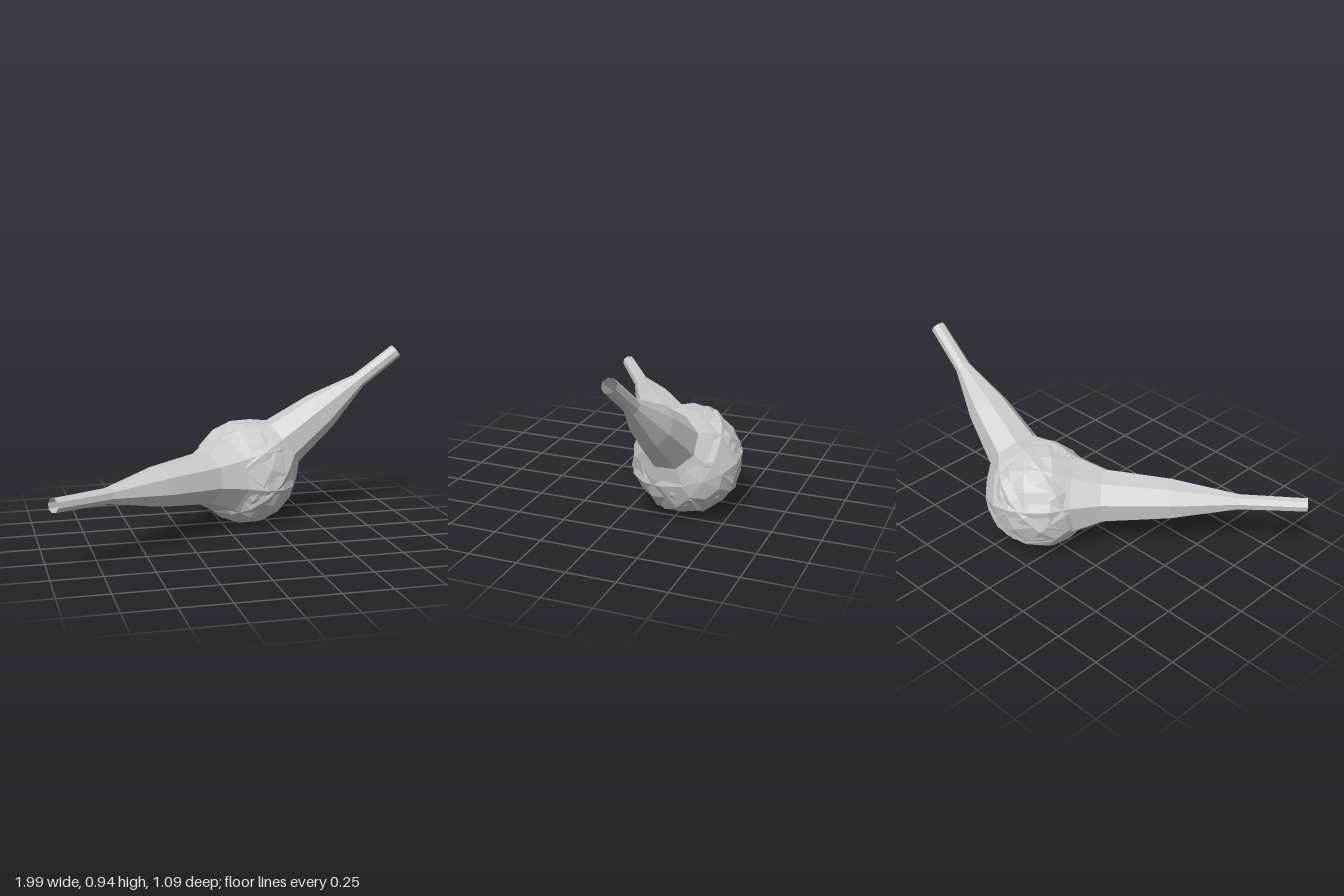
import * as THREE from 'three';

const SIDES = 8;
const BULB = 0.283;
const CENTRE = new THREE.Vector3(0.135, 0.285, -0.27);

// Material shared by all parts; the tubes are open at their tips
const material = new THREE.MeshStandardMaterial({
  color: 0xcccccc,
  flatShading: true,
  side: THREE.DoubleSide,
});

// A rounded bulb that narrows into a thin open tube ending at the tip
function branch(name, tip, radii) {
  const axis = tip.clone().sub(CENTRE);
  const length = axis.length();
  const profile = [];
  // Bulb, from its far pole to the shoulder
  for (const degrees of [-90, -68, -45, -22, 0, 22, 44]) {
    const a = THREE.MathUtils.degToRad(degrees);
    profile.push(new THREE.Vector2(Math.max(0, BULB * Math.cos(a)), BULB * Math.sin(a)));
  }
  // Evenly spaced rings along the taper
  radii.forEach((r, i) => profile.push(new THREE.Vector2(r, length * (i + 1) / radii.length)));

  const mesh = new THREE.Mesh(new THREE.LatheGeometry(profile, SIDES, Math.PI / SIDES), material);
  mesh.name = name;
  mesh.position.copy(CENTRE);
  mesh.quaternion.setFromUnitVectors(new THREE.Vector3(0, 1, 0), axis.normalize());
  return mesh;
}

export function createModel() {
  const group = new THREE.Group();
  group.name = 'branchingBulb';

  group.add(branch('longBranch', new THREE.Vector3(-0.975, 0.37, 0.515), [0.143, 0.108, 0.041, 0.036]));
  group.add(branch('raisedBranch', new THREE.Vector3(0.97, 0.92, -0.215), [0.143, 0.108, 0.041, 0.038]));

  // Ball that fills out the overlap of the two bulbs
  const core = new THREE.Mesh(new THREE.SphereGeometry(0.276, 12, 9), material);
  core.name = 'coreBall';
  core.position.copy(CENTRE);
  core.quaternion.setFromUnitVectors(
    new THREE.Vector3(0, 1, 0),
    new THREE.Vector3(0.5, 0.7, 0.5).normalize(),
  );
  group.add(core);

  return group;
}
